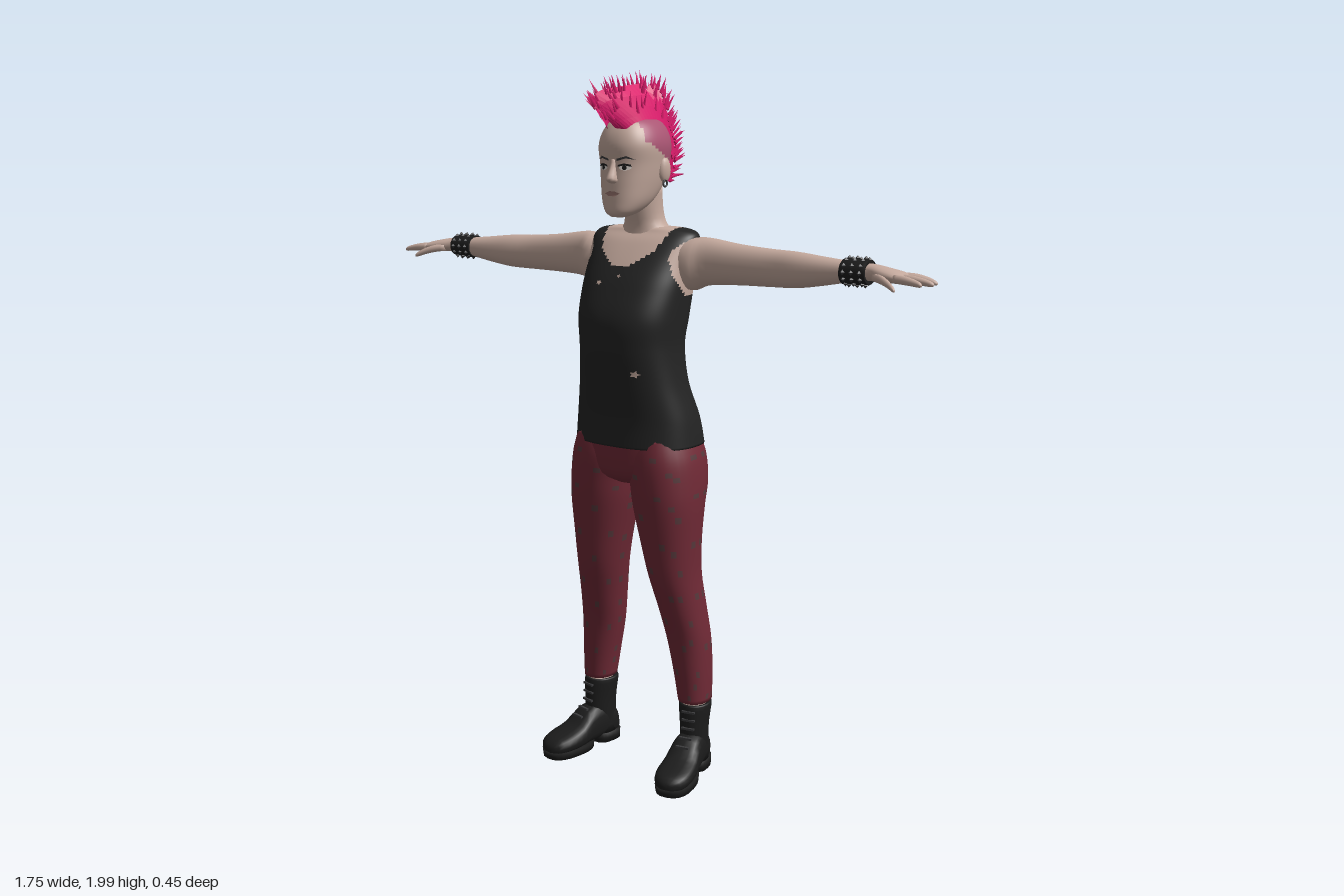
import * as THREE from 'three';
import { mergeGeometries } from 'three/addons/utils/BufferGeometryUtils.js';

const mat = (name, color, side = THREE.FrontSide) => Object.assign(new THREE.MeshStandardMaterial({ color, side }), { name });
const M = {
  skin: mat('skin', 0xc4a99d), scalp: mat('shaved scalp', 0xa95573), hair: mat('hair pink', 0xdc1c6c, THREE.DoubleSide),
  cloth: mat('black cloth', 0x232323), pants: mat('dark red', 0x702a36), patch: mat('faded patch', 0x57393c),
  leather: mat('black leather', 0x1c1c1c), metal: mat('dark grey', 0x3a3a3c), white: mat('eye white', 0xddd6d0), lip: mat('lip', 0x9a7670),
};

let seed = 7;
const rnd = () => (seed = (seed * 16807) % 2147483647) / 2147483647;

// Smoothly resample rows of numbers to n + 1 rows
function resample(rows, n) {
  const out = [], last = rows.length - 1;
  for (let k = 0; k <= n; k++) {
    const s = (k / n) * last, i = Math.min(Math.floor(s), last - 1), u = s - i;
    const [a, b, c, d] = [rows[Math.max(i - 1, 0)], rows[i], rows[i + 1], rows[Math.min(i + 2, last)]];
    out.push(b.map((v, q) => v + 0.5 * u * (c[q] - a[q] + u * (2 * a[q] - 5 * v + 4 * c[q] - d[q] + u * (3 * (v - c[q]) + d[q] - a[q])))));
  }
  return out;
}

const AXES = { y: (u, t, v) => [u, t, v], x: (u, t, v) => [t, v, u], z: (u, t, v) => [v, u, t] };

// Skin rounded rings [t, u0, u1, v0, v1] along an axis; pick() chooses a material per cell
function loft(name, rows, mats, { axis = 'y', seg = 20, p = 2, n = rows.length * 2, pick = () => 0 } = {}) {
  const rings = resample(rows, n), pos = [], faces = mats.map(() => []);
  const map = AXES[axis], pw = (v) => Math.sign(v) * Math.abs(v) ** (2 / p);
  for (const [t, u0, u1, v0, v1] of rings)
    for (let j = 0; j < seg; j++) {
      const a = (j / seg) * Math.PI * 2;
      pos.push(...map((u0 + u1) / 2 + (u1 - u0) / 2 * pw(Math.cos(a)), t, (v0 + v1) / 2 + (v1 - v0) / 2 * pw(Math.sin(a))));
    }
  for (const r of [rings[0], rings[n]]) pos.push(...map((r[1] + r[2]) / 2, r[0], (r[3] + r[4]) / 2));
  const end = (n + 1) * seg;
  for (let i = 0; i < n; i++)
    for (let j = 0; j < seg; j++) {
      const a = i * seg + j, b = i * seg + (j + 1) % seg, c = a + seg, d = b + seg;
      const mid = [0, 1, 2].map((k) => (pos[a * 3 + k] + pos[b * 3 + k] + pos[c * 3 + k] + pos[d * 3 + k]) / 4);
      faces[pick(mid, i, j)].push(a, c, b, b, c, d);
      if (i === 0) faces[0].push(end, a, b);
      if (i === n - 1) faces[0].push(end + 1, d, c);
    }
  const g = new THREE.BufferGeometry();
  g.setAttribute('position', new THREE.Float32BufferAttribute(pos, 3));
  g.setIndex(faces.flat());
  let start = 0;
  faces.forEach((f, k) => { g.addGroup(start, f.length, k); start += f.length; });
  g.computeVertexNormals();
  const m = new THREE.Mesh(g, mats.length > 1 ? mats : mats[0]);
  m.name = name;
  return m;
}

const sym = (rows) => rows.map(([t, r, v0, v1]) => [t, -r, r, v0, v1]);
const around = (rows) => rows.map(([t, cu, cv, ru, rv]) => [t, cu - ru, cu + ru, cv - rv, cv + rv]);
function add(parent, name, geo, material, x = 0, y = 0, z = 0) {
  const m = new THREE.Mesh(geo, material);
  m.name = name; m.position.set(x, y, z); parent.add(m);
  return m;
}

const HEAD = sym([[1.602, .02, .065, .1], [1.615, .043, .02, .112], [1.645, .063, -.03, .113], [1.69, .076, -.072, .111],
  [1.74, .084, -.09, .108], [1.79, .088, -.097, .112], [1.83, .075, -.09, .1], [1.857, .05, -.065, .075], [1.868, .012, -.01, .02]]);
const TORSO = sym([[.975, .19, -.15, .118], [1.05, .18, -.135, .118], [1.15, .157, -.105, .132], [1.25, .146, -.102, .146],
  [1.33, .152, -.118, .147], [1.41, .158, -.125, .115], [1.47, .16, -.125, .08], [1.53, .167, -.12, .036],
  [1.557, .158, -.11, .008], [1.569, .115, -.1, -.005], [1.572, .04, -.07, -.03]]);

// Front depth of a body surface at x, y
function frontZ(rows, p, x, y) {
  const rs = resample(rows, 80), i = Math.max(1, rs.findIndex((r) => r[0] > y));
  const [, , rx, z0, z1] = rs[i];
  return (z0 + z1) / 2 + (z1 - z0) / 2 * Math.max(0, 1 - Math.abs(x / rx) ** p) ** (1 / p);
}

// Thin painted shape laid on a body surface
function decal(parent, name, pts, material, rows, p, lift) {
  const shape = new THREE.Shape(pts.map(([x, y]) => new THREE.Vector2(x, y)));
  const g = new THREE.ShapeGeometry(shape), a = g.attributes.position;
  for (let i = 0; i < a.count; i++) a.setZ(i, frontZ(rows, p, a.getX(i), a.getY(i)) + lift);
  g.computeVertexNormals();
  return add(parent, name, g, material);
}
const oval = (x, y, rx, ry, n = 14) => Array.from({ length: n }, (_, i) => [x + rx * Math.cos(i / n * 6.2832), y + ry * Math.sin(i / n * 6.2832)]);

function buildHead() {
  const g = new THREE.Group(); g.name = 'head';
  g.add(loft('skull', HEAD, [M.skin, M.scalp], { seg: 56, p: 2.3, n: 48, pick: ([, y, z]) => +(z < .062 && y > 1.768 + z * .5) }));
  g.add(loft('nose', sym([[1.692, .009, .09, .118], [1.697, .015, .09, .128], [1.706, .014, .09, .134], [1.73, .009, .09, .122], [1.755, .008, .09, .111]]), [M.skin], { seg: 10 }));
  for (const s of [-1, 1]) {
    const face = (name, pts, m, lift) => decal(g, name, s > 0 ? pts : pts.map(([x, y]) => [-x, y]), m, HEAD, 2.3, lift);
    face('eye', oval(.035, 1.733, .016, .007), M.white, .002);
    face('iris', oval(.034, 1.733, .006, .0065), M.leather, .003);
    face('eyelid', [[.016, 1.735], [.034, 1.739], [.052, 1.735], [.05, 1.741], [.034, 1.744], [.018, 1.74]], M.leather, .004);
    face('eyebrow', [[.013, 1.75], [.038, 1.757], [.06, 1.753], [.04, 1.763], [.014, 1.756]], M.metal, .002);
    const ear = add(g, 'ear', new THREE.SphereGeometry(.03, 12, 10), M.skin, s * .086, 1.725, -.008);
    ear.scale.set(.35, 1.1, .65); ear.rotation.y = s * -.3;
    add(g, 'earring', new THREE.TorusGeometry(.009, .0025, 6, 12), M.metal, s * .09, 1.69, -.005).rotation.y = Math.PI / 2;
  }
  decal(g, 'mouth', [[-.024, 1.665], [-.008, 1.671], [.008, 1.671], [.024, 1.665], [.01, 1.658], [-.01, 1.658]], M.lip, HEAD, 2.3, .003);
  return g;
}

// Mohawk stations: base z, y, tip z, y, half width
const CREST = [[.115, 1.835, .2, 1.9, .012], [.085, 1.832, .17, 1.928, .036], [.045, 1.84, .095, 1.94, .052], [0, 1.838, .02, 1.948, .056],
  [-.04, 1.825, -.06, 1.952, .055], [-.06, 1.805, -.105, 1.942, .052], [-.075, 1.78, -.145, 1.88, .048],
  [-.08, 1.75, -.175, 1.825, .044], [-.082, 1.715, -.185, 1.77, .038], [-.09, 1.69, -.175, 1.69, .026]];

function buildMohawk() {
  const g = new THREE.Group(); g.name = 'mohawk';
  const N = 36, rows = resample(CREST, N);
  const at = (r, f, side) => {
    const [bz, by, tz, ty, w] = r;
    return new THREE.Vector3(side * w * Math.sqrt(Math.max(0, 1 - f)) * (1 - .25 * f), by + (ty - by) * f, bz + (tz - bz) * f);
  };
  const fin = new THREE.PlaneGeometry(1, 1, 8, N), a = fin.attributes.position;
  for (let j = 0; j <= N; j++)
    for (let i = 0; i <= 8; i++) {
      const notch = j % 2 && j < 22 ? .86 : 1;
      const p = at(rows[N - j], (1 - Math.abs(i - 4) / 4) * notch, Math.sign(i - 4));
      a.setXYZ(j * 9 + i, p.x, p.y, p.z);
    }
  const flat = fin.toNonIndexed(); flat.computeVertexNormals();
  add(g, 'crest', flat, M.hair);

  // Loose spikes over the crest
  const spikes = [], up = new THREE.Vector3(0, 1, 0);
  for (let k = 0; k < 190; k++) {
    const r = rows[Math.floor(rnd() * (N + 1))], f = k % 2 ? .93 : .35 + rnd() * .5, side = rnd() < .5 ? -1 : 1;
    const dir = new THREE.Vector3(side * .12 + (rnd() - .5) * .3, r[3] - r[1], r[2] - r[0]);
    dir.y *= 8; dir.z *= 8; dir.normalize();
    dir.z += (rnd() - .5) * .35; dir.normalize();
    const len = .03 + rnd() * .022;
    const cone = new THREE.ConeGeometry(.004 + rnd() * .004, len, 4).translate(0, len * .4, 0);
    cone.applyQuaternion(new THREE.Quaternion().setFromUnitVectors(up, dir));
    spikes.push(cone.translate(...at(r, f, side).toArray()));
  }
  add(g, 'spikes', mergeGeometries(spikes), M.hair);
  return g;
}

function buildTorso() {
  const g = new THREE.Group(); g.name = 'upperBody';
  const bare = ([x, y, z]) => {
    const neck = (x / .108) ** 2 + ((y - 1.58) / (z > -.05 ? .11 : .035)) ** 2 < 1;
    const armhole = Math.abs(x) > .13 && ((y - 1.465) / .076) ** 2 + ((z + .038) / .078) ** 2 < 1;
    return +(neck || armhole);
  };
  g.add(loft('tankTop', TORSO, [M.cloth, M.skin], { seg: 88, p: 2.4, n: 80, pick: bare }));
  g.add(loft('neck', sym([[1.5, .1, -.1, .03], [1.545, .088, -.108, .014], [1.58, .06, -.098, .014], [1.62, .053, -.09, .025], [1.68, .054, -.085, .04]]), [M.skin], { seg: 24 }));
  // Torn holes
  for (const [x, y, r] of [[.085, 1.187, .016], [-.05, 1.425, .011], [.01, 1.445, .008]])
    decal(g, 'tornHole', oval(x, y, r, r * .7, 10).map(([u, v], i) => i % 2 ? [(u + x) / 2, (v + y) / 2] : [u, v]), M.skin, TORSO, 2.4, .005);
  return g;
}

function buildArm() {
  const g = new THREE.Group(); g.name = 'arm';
  // Rows: x, centre z, centre y, half depth, half height
  g.add(loft('armSkin', around([[.1, -.04, 1.472, .055, .06], [.165, -.042, 1.475, .062, .071], [.21, -.046, 1.484, .05, .064], [.3, -.046, 1.481, .043, .055],
    [.4, -.046, 1.478, .04, .05], [.48, -.041, 1.478, .041, .047], [.56, -.036, 1.48, .036, .037], [.64, -.032, 1.484, .029, .026],
    [.69, -.031, 1.486, .028, .022], [.73, -.024, 1.484, .037, .019], [.775, -.02, 1.479, .043, .015], [.8, -.02, 1.476, .036, .009]]), [M.skin], { axis: 'x', p: 2.2, n: 40 }));
  const fingers = [[.77, -.054, .845, -.07], [.78, -.032, .868, -.037], [.78, -.009, .873, -.004], [.775, .012, .855, .026], [.715, .0, .795, .048]];
  fingers.forEach(([x0, z0, x1, z1], i) => {
    const y0 = 1.478, y1 = i === 4 ? 1.453 : 1.468, k = [0, .35, .7, .93, 1], r = [.0105, .011, .009, .0065, .002];
    g.add(loft(i === 4 ? 'thumb' : 'finger', around(k.map((t, q) => [x0 + (x1 - x0) * t, z0 + (z1 - z0) * t, y0 + (y1 - y0) * t * t, r[q], r[q]])), [M.skin], { axis: 'x', seg: 10 }));
  });
  // Studded wristband
  g.add(loft('wristband', around([[.62, -.033, 1.484, .035, .031], [.625, -.033, 1.484, .038, .033], [.685, -.032, 1.485, .038, .032], [.69, -.032, 1.485, .034, .029]]), [M.leather], { axis: 'x' }));
  for (const x of [.632, .655, .678])
    for (let i = 0; i < 12; i++) {
      const a = i / 12 * Math.PI * 2;
      add(g, 'stud', new THREE.OctahedronGeometry(.007), M.metal, x, 1.485 + .034 * Math.sin(a), -.033 + .039 * Math.cos(a));
    }
  return g;
}

function buildLeg() {
  const g = new THREE.Group(); g.name = 'leg';
  const check = (_, i, j) => +((i % 4 === 1 && (j + 3 * Math.floor(i / 4)) % 6 === 0) || (i % 7 === 3 && j % 11 === 4));
  g.add(loft('trouserLeg', [[.215, .125, .216, -.105, 0], [.3, .11, .217, -.11, .006], [.4, .09, .214, -.11, .016], [.5, .074, .204, -.103, .042], [.6, .055, .197, -.092, .07],
    [.7, .034, .2, -.092, .086], [.8, .012, .206, -.106, .1], [.87, .001, .205, -.13, .106], [.94, -.01, .196, -.135, .108], [1.0, .01, .175, -.12, .1]], [M.pants, M.patch],
    { seg: 32, p: 2.2, n: 46, pick: check }));
  g.add(loft('ankle', around([[.15, .17, -.055, .036, .044], [.225, .17, -.054, .038, .046]]), [M.skin], { n: 2 }));

  const boot = new THREE.Group(); boot.name = 'boot';
  boot.position.set(.17, 0, -.055); boot.rotation.y = .2;
  boot.add(loft('bootShaft', around([[.03, 0, 0, .04, .048], [.1, 0, .005, .04, .05], [.15, 0, .004, .042, .052], [.2, 0, 0, .047, .054], [.208, 0, 0, .043, .05]]), [M.leather]));
  // Rows: z, bottom, top, half width
  boot.add(loft('bootFoot', [[-.052, .015, .06, .02], [-.035, .012, .1, .036], [.02, .012, .125, .041], [.07, .012, .115, .046], [.11, .012, .082, .052],
    [.16, .012, .066, .054], [.2, .012, .055, .042], [.218, .015, .038, .014]].map(([z, a, b, w]) => [z, a, b, -w, w]), [M.leather], { axis: 'z', p: 2.6 }));
  boot.add(loft('sole', around([[0, 0, .135, .052, .083], [.022, 0, .135, .054, .086]]), [M.leather], { n: 2, p: 2.5 }));
  boot.add(loft('heel', around([[0, 0, -.008, .041, .046], [.03, 0, -.008, .042, .047]]), [M.leather], { n: 2, p: 3 }));
  for (const [y, z] of [[.19, .054], [.165, .054], [.14, .057], [.118, .075], [.1, .098]])
    add(boot, 'lace', new THREE.BoxGeometry(.038, .006, .008), M.metal, 0, y, z);
  g.add(boot);
  return g;
}

export function createModel() {
  const model = new THREE.Group(); model.name = 'punkFigure';
  model.add(buildHead(), buildMohawk(), buildTorso());
  model.add(loft('hips', sym([[.862, .05, -.09, .065], [.885, .14, -.12, .098], [.93, .185, -.137, .11], [1.0, .182, -.128, .112]]), [M.pants], { seg: 32, p: 2.3 }));
  for (const s of [1, -1])
    for (const limb of [buildArm(), buildLeg()]) {
      limb.name = (s > 0 ? 'left ' : 'right ') + limb.name;
      limb.scale.x = s;
      model.add(limb);
    }
  return model;
}
